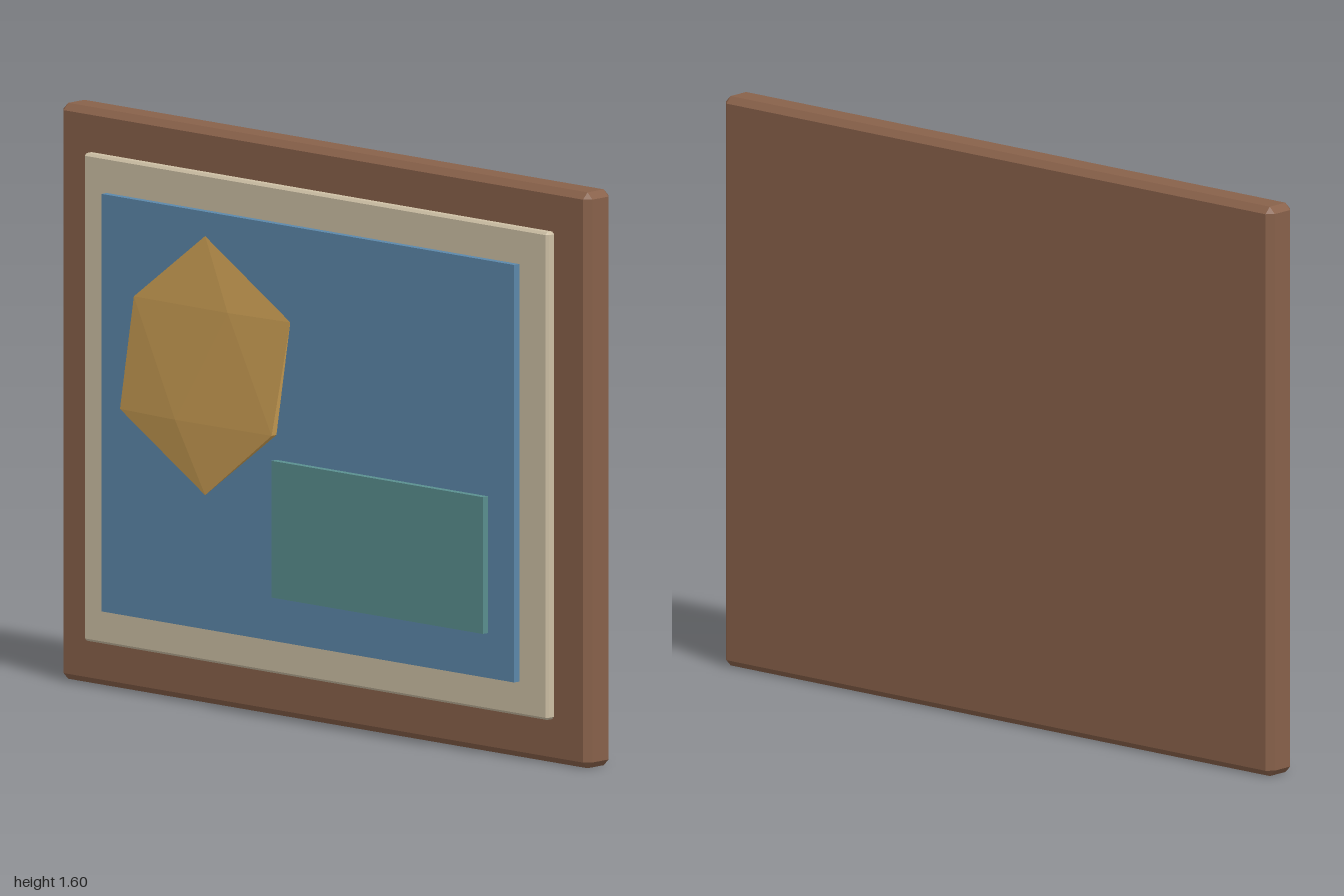
import * as THREE from 'three';
import { ConvexGeometry } from 'three/addons/geometries/ConvexGeometry.js';

const material = (name, color) => {
  const m = new THREE.MeshStandardMaterial({ color });
  m.name = name;
  return m;
};

// Box with every edge chamfered by b
function chamferedBox(w, h, d, b) {
  const points = [];
  for (const sx of [-1, 1]) for (const sy of [-1, 1]) for (const sz of [-1, 1]) {
    const x = w / 2, y = h / 2, z = d / 2;
    points.push(
      new THREE.Vector3(sx * x, sy * (y - b), sz * (z - b)),
      new THREE.Vector3(sx * (x - b), sy * y, sz * (z - b)),
      new THREE.Vector3(sx * (x - b), sy * (y - b), sz * z)
    );
  }
  return new ConvexGeometry(points);
}

// Flattened icosahedron standing on a vertex
function flatGem(r, depthScale) {
  const points = [new THREE.Vector3(0, r, 0), new THREE.Vector3(0, -r, 0)];
  const ring = r * 2 / Math.sqrt(5), height = r / Math.sqrt(5);
  for (let i = 0; i < 5; i++) {
    const a = i * Math.PI * 2 / 5;
    const x = ring * Math.cos(a), z = ring * Math.sin(a) * depthScale;
    points.push(new THREE.Vector3(x, height, z), new THREE.Vector3(-x, -height, -z));
  }
  return new ConvexGeometry(points);
}

export function createModel() {
  const group = new THREE.Group();
  group.name = 'framedPicture';
  const add = (name, geometry, mat, x, y, z) => {
    const mesh = new THREE.Mesh(geometry, mat);
    mesh.name = name;
    mesh.position.set(x, y, z);
    group.add(mesh);
  };

  // Wooden backing frame and the mat on its front
  add('frame', chamferedBox(2, 1.6, 0.1, 0.018), material('brown wood', 0x88614a), 0, 0.8, -0.053);
  add('mat', chamferedBox(1.755, 1.355, 0.033, 0.007), material('cream mat', 0xcdbfa4), 0, 0.803, 0.0125);

  // Picture panel, floating just in front of the mat
  add('picturePanel', new THREE.BoxGeometry(1.56, 1.16, 0.02), material('blue', 0x5c88aa), 0, 0.803, 0.048);

  // Raised shapes of the picture
  add('sun', flatGem(0.36, 0.05), material('gold', 0xcda055), -0.36, 0.963, 0.088);
  add('field', new THREE.BoxGeometry(0.8, 0.38, 0.02), material('teal', 0x5a8f8f), 0.3, 0.543, 0.088);

  return group;
}
